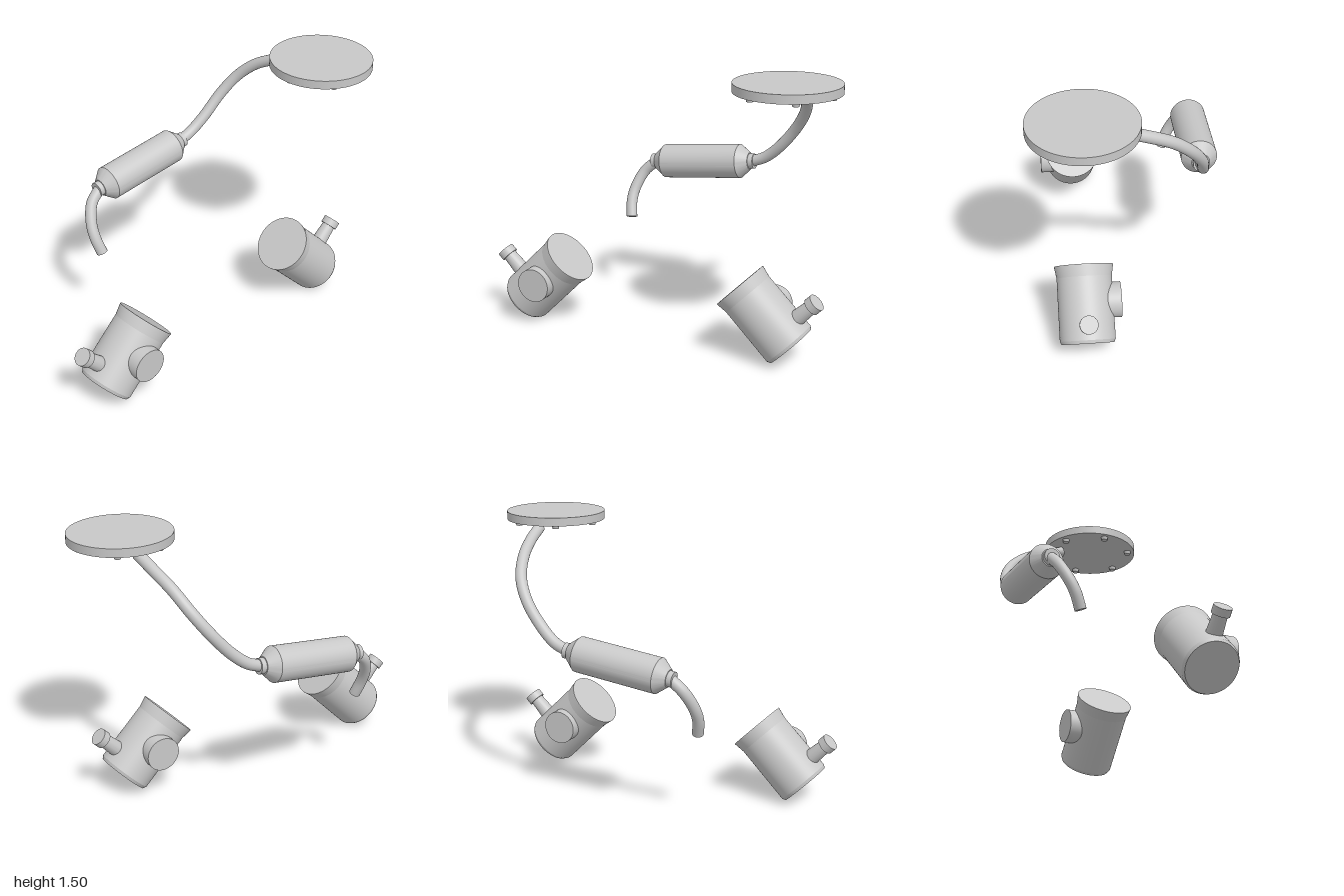
import * as THREE from 'three';
import { toCreasedNormals } from 'three/addons/utils/BufferGeometryUtils.js';

const metal = new THREE.MeshStandardMaterial({ color: 0xc8c8c8 });
metal.name = 'light grey metal';

function add(parent, geometry, name) {
  const mesh = new THREE.Mesh(geometry, metal);
  mesh.name = name;
  parent.add(mesh);
  return mesh;
}

// Turned part about y, from [radius, height] pairs, with crisp rims
function turned(profile, segments = 48) {
  const points = profile.map(([r, y]) => new THREE.Vector2(r, y));
  return toCreasedNormals(new THREE.LatheGeometry(points, segments), 0.16);
}

// Bent round pipe with closed ends
function pipe(parent, coords, radius, name) {
  const group = new THREE.Group();
  group.name = name;
  const curve = new THREE.CatmullRomCurve3(coords.map((p) => new THREE.Vector3(...p)));
  add(group, new THREE.TubeGeometry(curve, 64, radius, 24), name + 'Tube');
  for (const t of [0, 1]) {
    const cap = add(group, new THREE.CircleGeometry(radius, 24), name + 'End');
    const outward = curve.getTangent(t).multiplyScalar(t ? 1 : -1);
    cap.position.copy(curve.getPoint(t));
    cap.quaternion.setFromUnitVectors(new THREE.Vector3(0, 0, 1), outward);
  }
  parent.add(group);
}

// Tilted canister with a flared rim, a round side port and a capped nozzle
function canister(name) {
  const group = new THREE.Group();
  group.name = name;
  add(group, turned([
    [0, 0], [0.139, 0], [0.148, 0.018], [0.147, 0.35], [0.157, 0.408], [0.157, 0.413], [0, 0.413],
  ], 64), 'canisterBody');

  const port = add(group, new THREE.CylinderGeometry(0.094, 0.094, 0.188, 48), 'sidePort');
  port.rotation.x = Math.PI / 2;
  port.position.set(0, 0.223, 0.094);

  const nozzle = add(group, turned([
    [0, 0.08], [0.043, 0.08], [0.043, 0.14], [0.037, 0.242], [0.048, 0.242], [0.048, 0.284], [0, 0.284],
  ]), 'cappedNozzle');
  nozzle.rotation.z = Math.PI / 2;
  nozzle.position.y = 0.094;
  return group;
}

export function createModel() {
  const model = new THREE.Group();
  model.name = 'exhaustParts';

  // Two canisters, the second turned half round
  const right = canister('rightCanister');
  right.position.set(-0.832, 0.1, 0.227);
  right.rotation.set(0, 0, -Math.PI / 4);
  const left = canister('leftCanister');
  left.position.set(0.775, 0.1, 0.227);
  left.rotation.set(0, Math.PI, -Math.PI / 4);
  model.add(right, left);

  // Round plate with six studs beneath
  const plate = new THREE.Group();
  plate.name = 'topPlate';
  plate.position.set(0.722, 1.45, 0.229);
  add(plate, new THREE.CylinderGeometry(0.277, 0.277, 0.047, 96), 'plateDisc').position.y = 0.0235;
  for (let i = 0; i < 6; i++) {
    const a = (i * Math.PI) / 3;
    const stud = add(plate, new THREE.CylinderGeometry(0.021, 0.017, 0.02, 20), 'stud');
    stud.position.set(0.236 * Math.cos(a), -0.009, 0.236 * Math.sin(a));
  }
  model.add(plate);

  // Muffler with coned ends and collars
  const muffler = add(model, turned([
    [0, -0.32], [0.042, -0.32], [0.042, -0.292], [0.048, -0.292], [0.096, -0.235],
    [0.096, 0.235], [0.048, 0.292], [0.042, 0.292], [0.042, 0.32], [0, 0.32],
  ], 64), 'muffler');
  muffler.position.set(-0.021, 0.843, -0.413);
  muffler.rotation.z = -Math.PI / 2 + 0.117;

  // Pipes either side of the muffler
  pipe(model, [
    [0.72, 1.425, 0.04], [0.7, 1.375, -0.087], [0.668, 1.308, -0.213], [0.623, 1.213, -0.312],
    [0.55, 1.103, -0.37], [0.448, 0.984, -0.396], [0.36, 0.912, -0.41], [0.28, 0.879, -0.413],
  ], 0.031, 'upperPipe');
  pipe(model, [
    [-0.315, 0.808, -0.413], [-0.385, 0.745, -0.4], [-0.427, 0.65, -0.357],
    [-0.433, 0.575, -0.32], [-0.417, 0.49, -0.285],
  ], 0.031, 'tailPipe');

  return model;
}
